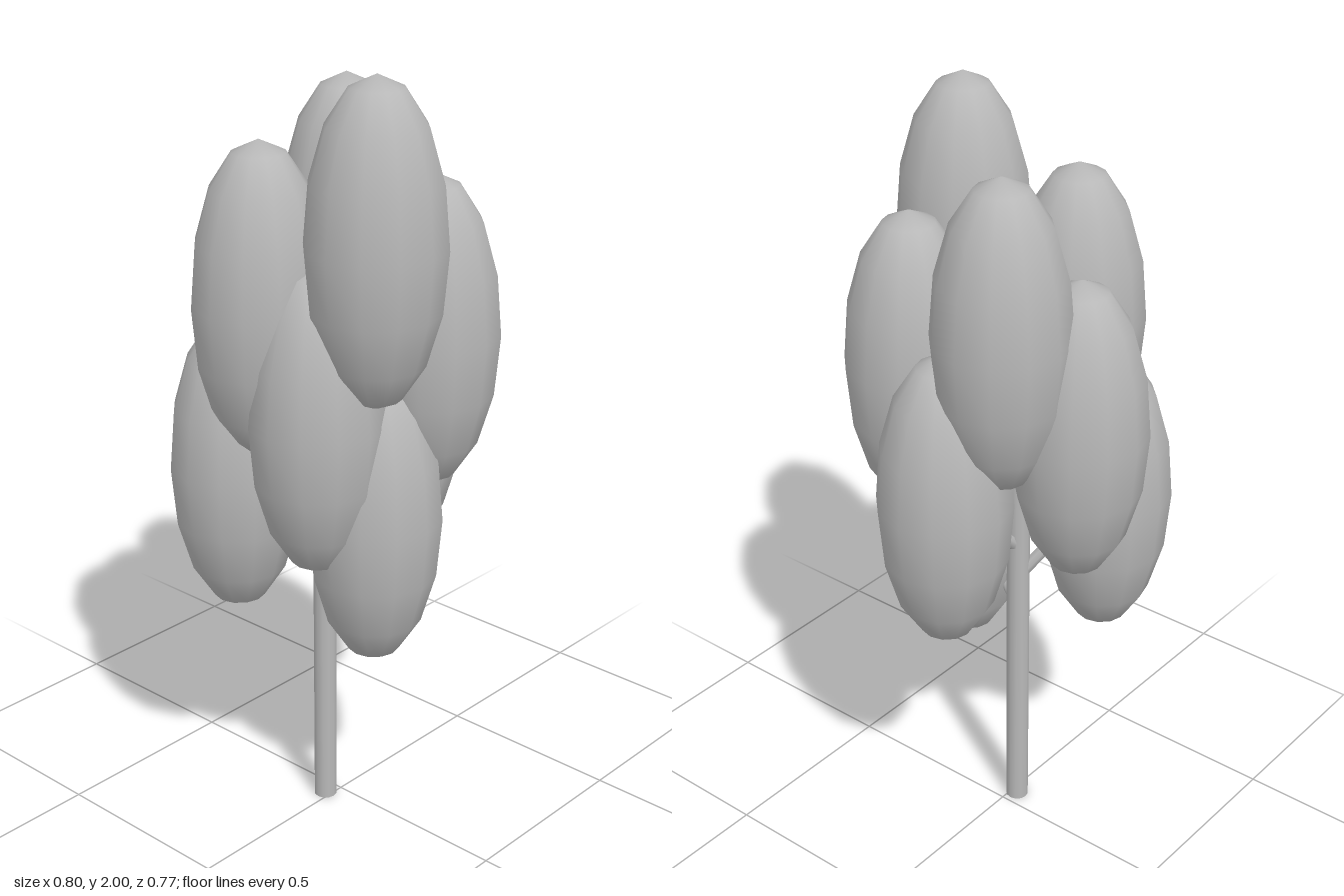
import * as THREE from 'three';

const TRUNK_X = -0.017, TRUNK_Z = 0.042, TRUNK_R = 0.03, TRUNK_H = 1.4;
const LEAF_R = 0.17, LEAF_HALF_HEIGHT = 0.395;

// Leaf clump centres (x, z), spiralling down the trunk from the top
const CLUMPS = [
  [0.23, 0.135], [-0.117, -0.15], [-0.062, 0.212],
  [0.205, -0.097], [-0.23, 0.004], [0.09, 0.183],
  [0.005, -0.217], [-0.176, 0.191], [0.157, 0.05],
];
const TOP_CLUMP_Y = 1.605, CLUMP_STEP = 0.09, BRANCH_DROP = 0.25;

// Tapered cylinder between two points
function limb(from, to, r0, r1, sides, material) {
  const dir = to.clone().sub(from);
  const mesh = new THREE.Mesh(new THREE.CylinderGeometry(r1, r0, dir.length(), sides), material);
  mesh.position.copy(from).add(to).multiplyScalar(0.5);
  mesh.quaternion.setFromUnitVectors(new THREE.Vector3(0, 1, 0), dir.normalize());
  return mesh;
}

export function createModel() {
  const tree = new THREE.Group();
  tree.name = 'tree';
  const grey = new THREE.MeshStandardMaterial({ color: 0xb8b8b8 });
  grey.name = 'grey';

  // Trunk
  const trunk = limb(
    new THREE.Vector3(TRUNK_X, 0, TRUNK_Z),
    new THREE.Vector3(TRUNK_X, TRUNK_H, TRUNK_Z),
    TRUNK_R, TRUNK_R, 12, grey);
  trunk.name = 'trunk';
  tree.add(trunk);

  // Shared tall ellipsoid for the foliage
  const leafGeometry = new THREE.SphereGeometry(1, 12, 8);
  leafGeometry.scale(LEAF_R, LEAF_HALF_HEIGHT, LEAF_R);

  CLUMPS.forEach(([x, z], i) => {
    const y = TOP_CLUMP_Y - i * CLUMP_STEP;

    const clump = new THREE.Mesh(leafGeometry, grey);
    clump.position.set(x, y, z);
    clump.name = `leafClump${i + 1}`;
    tree.add(clump);

    // Branch rising from the trunk into the clump
    const branch = limb(
      new THREE.Vector3(TRUNK_X, y - BRANCH_DROP, TRUNK_Z),
      new THREE.Vector3(x, y, z),
      0.018, 0.01, 8, grey);
    branch.name = `branch${i + 1}`;
    tree.add(branch);
  });

  return tree;
}
